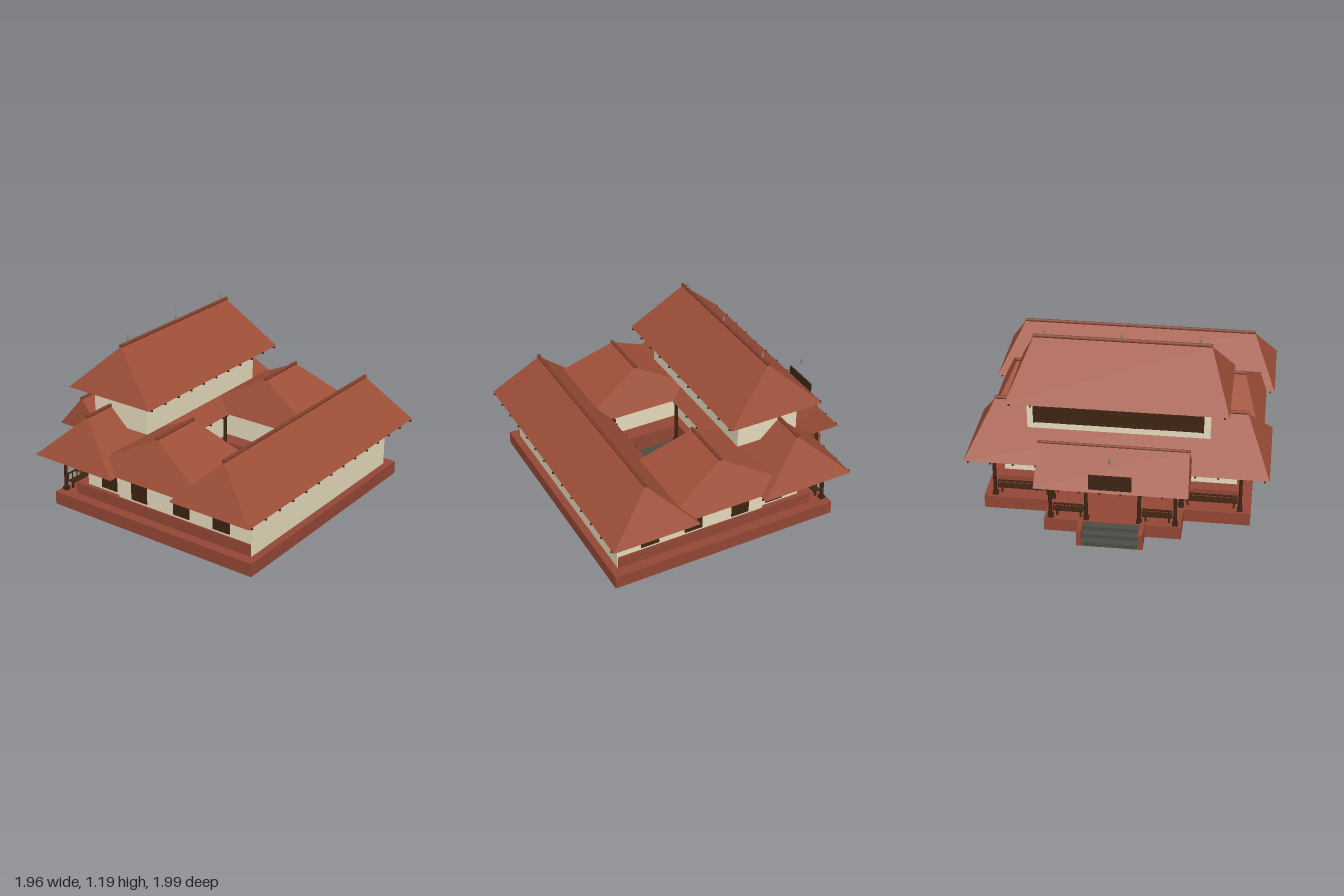
import * as THREE from 'three';

const mat = (name, color, extra = {}) => {
  const m = new THREE.MeshStandardMaterial({ color, ...extra });
  m.name = name;
  return m;
};

export function createModel() {
  const roofTile = mat('roof tile', 0x9e4f38);
  const ridgeTile = mat('ridge tile', 0x82402c);
  const laterite = mat('laterite plinth', 0x934735);
  const plaster = mat('cream plaster', 0xe6dabc);
  const wood = mat('dark wood', 0x3d2412);
  const stone = mat('grey stone', 0x4d4d47);
  const metal = mat('finial metal', 0x8a8676);

  const house = new THREE.Group();
  house.name = 'courtyardHouse';

  const add = (name, geometry, material, x = 0, y = 0, z = 0, parent = house) => {
    const mesh = new THREE.Mesh(geometry, material);
    mesh.name = name;
    mesh.position.set(x, y, z);
    parent.add(mesh);
    return mesh;
  };
  // Box given by its limits on each axis
  const block = (name, material, [x0, x1], [y0, y1], [z0, z1], parent) =>
    add(name, new THREE.BoxGeometry(x1 - x0, y1 - y0, z1 - z0), material,
      (x0 + x1) / 2, (y0 + y1) / 2, (z0 + z1) / 2, parent);

  // Flat slab with a rectangular opening for the courtyard
  const court = { x: 0.29, z0: -0.12, z1: 0.45 };
  const ringSlab = (name, x, z0, z1, y0, y1) => {
    const shape = new THREE.Shape([[-x, -z1], [x, -z1], [x, -z0], [-x, -z0]]
      .map(p => new THREE.Vector2(...p)));
    const c = court;
    shape.holes.push(new THREE.Path([[-c.x, -c.z1], [-c.x, -c.z0], [c.x, -c.z0], [c.x, -c.z1]]
      .map(p => new THREE.Vector2(...p))));
    const g = new THREE.ExtrudeGeometry(shape, { depth: y1 - y0, bevelEnabled: false });
    add(name, g.rotateX(-Math.PI / 2), laterite, 0, y0, 0);
  };

  // Hipped roof with ridge along x, ridge cap and rafter tips
  function hipRoof(name, [x0, x1], [z0, z1], eave, [r0, r1], top, tips, cap = 0.012) {
    const roof = new THREE.Group();
    roof.name = name;
    house.add(roof);
    const zm = (z0 + z1) / 2;
    const a = [x0, eave, z1], b = [x1, eave, z1], c = [x1, eave, z0], d = [x0, eave, z0];
    const p = [r0, top, zm], q = [r1, top, zm];
    const tris = [a, b, q, a, q, p, b, c, q, c, d, p, c, p, q, d, a, p, a, d, c, a, c, b];
    const g = new THREE.BufferGeometry();
    g.setAttribute('position', new THREE.Float32BufferAttribute(tris.flat(), 3));
    g.computeVertexNormals();
    add('roofSlopes', g, roofTile, 0, 0, 0, roof);
    const ridge = new THREE.CylinderGeometry(cap, cap, r1 - r0 + 0.01, 8).rotateZ(Math.PI / 2);
    add('ridgeCap', ridge, ridgeTile, (r0 + r1) / 2, top + cap * 0.4, zm, roof);
    const tip = new THREE.BoxGeometry(0.01, 0.01, 0.04);
    for (let i = 0; i < tips; i++) {
      const x = x0 + 0.03 + (x1 - x0 - 0.06) * i / (tips - 1);
      for (const z of [z0 + 0.013, z1 - 0.013]) add('rafterTip', tip, wood, x, eave - 0.004, z, roof);
    }
  }

  function pillar(x, z, y0, y1) {
    const post = new THREE.Group();
    post.name = 'pillar';
    house.add(post);
    const h = y1 - y0;
    add('pillarBase', new THREE.BoxGeometry(0.036, 0.02, 0.036), wood, x, y0 + 0.01, z, post);
    add('pillarShaft', new THREE.CylinderGeometry(0.011, 0.013, h, 10), wood, x, y0 + h / 2, z, post);
    add('pillarCapital', new THREE.BoxGeometry(0.034, 0.02, 0.034), wood, x, y1 - 0.012, z, post);
  }

  // Wooden seat with legs and a slatted back
  function bench(x0, x1, z) {
    const seat = new THREE.Group();
    seat.name = 'verandaBench';
    house.add(seat);
    block('benchSeat', wood, [x0, x1], [0.138, 0.147], [z - 0.005, z + 0.045], seat);
    block('benchRail', wood, [x0, x1], [0.19, 0.2], [z - 0.008, z], seat);
    for (const x of [x0 + 0.02, x1 - 0.02]) block('benchLeg', wood, [x - 0.006, x + 0.006], [0.09, 0.14], [z + 0.012, z + 0.024], seat);
    const n = 8;
    for (let i = 0; i <= n; i++) {
      const x = x0 + (x1 - x0) * i / n;
      block('benchSlat', wood, [x - 0.003, x + 0.003], [0.145, 0.192], [z - 0.007, z - 0.002], seat);
    }
  }

  const finial = (x, y, z, h) => add('finial', new THREE.LatheGeometry(
    [[0.001, 0], [0.008, 0], [0.005, 0.2], [0.009, 0.35], [0.004, 0.55], [0, 1]]
      .map(([r, t]) => new THREE.Vector2(r, t * h)), 10), metal, x, y, z);

  // Plinths and sunken courtyard
  ringSlab('lowerPlinth', 0.87, -0.66, 0.93, 0, 0.09);
  ringSlab('upperPlinth', 0.8, -0.53, 0.876, 0.09, 0.17);
  block('courtyardFloor', stone, [-court.x, court.x], [0, 0.05], [court.z0, court.z1]);
  block('porchPlinth', laterite, [-0.44, 0.44], [0, 0.09], [-0.86, -0.66]);

  // Entrance steps between cheek walls
  for (let i = 0; i < 3; i++) block('step', stone, [-0.18, 0.18], [0, 0.085 - i * 0.027], [-0.907 - i * 0.046, -0.86 - i * 0.046]);
  for (const s of [-1, 1]) add('stepCheek', new THREE.BoxGeometry(0.03, 0.11, 0.14), laterite, s * 0.195, 0.055, -0.93);

  // Ground floor walls
  block('frontWall', plaster, [-0.795, 0.795], [0.09, 0.4], [0.872, 0.88]);
  block('frontRange', plaster, [-0.79, 0.79], [0.17, 0.4], [0.5, 0.875]);
  block('rearRange', plaster, [-0.77, 0.77], [0.17, 0.4], [-0.45, -0.17]);
  for (const s of [-1, 1]) {
    add('sideRange', new THREE.BoxGeometry(0.39, 0.23, 0.67), plaster, s * 0.595, 0.285, 0.165);
    for (const z of [0.65, 0.34, 0, -0.265]) {
      const face = z < -0.17 ? 0.77 : 0.79;
      add('sideWindow', new THREE.BoxGeometry(0.01, 0.135, 0.125), wood, s * (face + 0.003), 0.255, z);
    }
  }
  block('mainDoor', wood, [-0.09, 0.09], [0.17, 0.35], [-0.463, -0.45]);

  // Upper storey with long shuttered window
  block('upperWalls', plaster, [-0.59, 0.59], [0.56, 0.81], [-0.53, -0.09]);
  block('upperWindow', wood, [-0.54, 0.54], [0.62, 0.765], [-0.538, -0.53]);
  for (let i = 0; i <= 5; i++) {
    const x = -0.54 + i * 0.216;
    block('windowMullion', wood, [x - 0.008, x + 0.008], [0.61, 0.775], [-0.546, -0.53]);
  }
  for (const y of [0.612, 0.766]) block('windowRail', wood, [-0.548, 0.548], [y, y + 0.01], [-0.546, -0.53]);

  // Roofs
  hipRoof('frontRoof', [-0.98, 0.98], [0.39, 0.985], 0.39, [-0.82, 0.82], 0.685, 14);
  hipRoof('rearRoof', [-0.98, 0.98], [-0.715, -0.075], 0.39, [-0.82, 0.82], 0.685, 14);
  hipRoof('leftRoof', [0.28, 0.925], [-0.375, 0.665], 0.392, [0.41, 0.78], 0.665, 5);
  hipRoof('rightRoof', [-0.925, -0.28], [-0.375, 0.665], 0.392, [-0.78, -0.41], 0.665, 5);
  hipRoof('upperRoof', [-0.71, 0.71], [-0.645, 0.025], 0.795, [-0.57, 0.57], 1.11, 11);
  hipRoof('porchRoof', [-0.487, 0.487], [-0.945, -0.565], 0.375, [-0.477, 0.477], 0.6, 8, 0.009);
  for (const x of [-0.5, 0, 0.5]) finial(x, 1.115, -0.31, 0.075);
  finial(0, 0.6, -0.945, 0.06);
  block('nameBoard', wood, [-0.135, 0.135], [0.4, 0.505], [-0.948, -0.938]);

  // Pillars and benches
  for (const s of [-1, 1]) {
    for (const x of [0.8, 0.42]) pillar(s * x, -0.625, 0.09, 0.395);
    for (const x of [0.4, 0.17]) pillar(s * x, -0.832, 0.09, 0.385);
    for (const z of [-0.1, 0.39]) pillar(s * 0.275, z, 0.05, 0.395);
    const span = (u, v, z) => bench(Math.min(s * u, s * v), Math.max(s * u, s * v), z);
    span(0.44, 0.78, -0.62);
    span(0.19, 0.38, -0.83);
  }

  // Courtyard plant pedestal
  block('pedestalBase', laterite, [-0.055, 0.055], [0.05, 0.09], [0.09, 0.2]);
  block('pedestalBody', plaster, [-0.038, 0.038], [0.09, 0.17], [0.107, 0.183]);
  add('pedestalPot', new THREE.CylinderGeometry(0.032, 0.024, 0.04, 12), stone, 0, 0.19, 0.145);

  return house;
}
